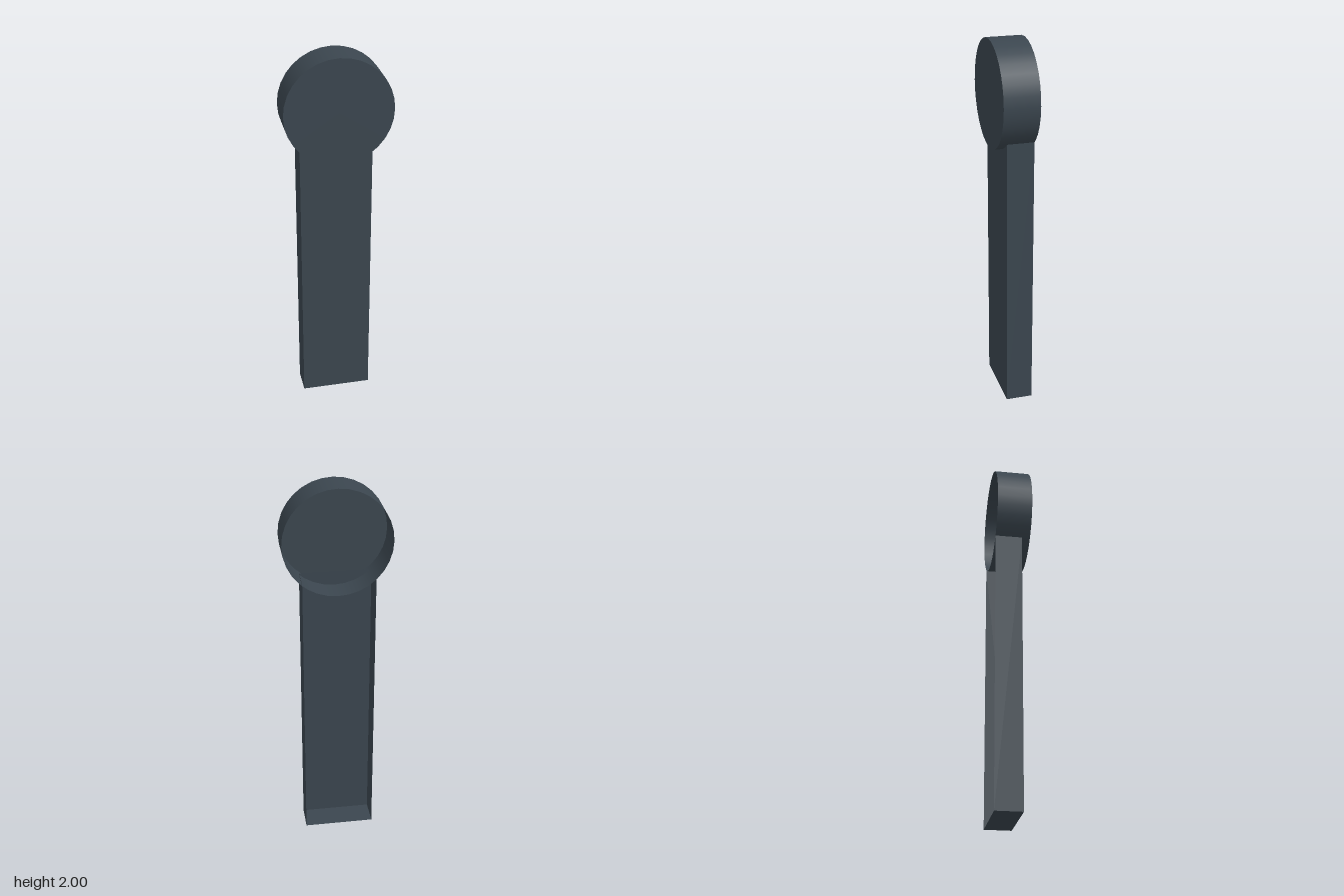
import * as THREE from 'three';

export function createModel() {
  const group = new THREE.Group();
  const material = new THREE.MeshStandardMaterial({ color: 0x3b464f, side: THREE.DoubleSide });
  const add = (parent, name, geometry, x, y, z) => {
    const mesh = new THREE.Mesh(geometry, material);
    mesh.name = name;
    mesh.position.set(x, y, z);
    parent.add(mesh);
    return mesh;
  };

  const back = -0.094, front = 0.094, armFront = 0.05;

  // Round head: a shallow cup, closed in front and open behind
  const radius = 0.282, segments = 32, headY = 2 - radius;
  const head = new THREE.Group();
  head.name = 'head';
  const rim = new THREE.CylinderGeometry(radius, radius, front - back, segments, 1, true).rotateX(Math.PI / 2);
  add(head, 'headRim', rim, 0, headY, 0);
  add(head, 'headFace', new THREE.CircleGeometry(radius, segments), 0, headY, front);

  // Long arm: a tray open behind and at the top, where it enters the head
  const left = 0.182, right = -0.196, height = 1.51;
  const width = left - right, depth = armFront - back;
  const midX = (left + right) / 2, midZ = (armFront + back) / 2;
  const arm = new THREE.Group();
  arm.name = 'arm';
  add(arm, 'armFace', new THREE.PlaneGeometry(width, height), midX, height / 2, armFront);
  for (const [name, x, turn] of [['armLeftWall', left, 1], ['armRightWall', right, -1]]) {
    const wall = new THREE.PlaneGeometry(depth, height).rotateY(turn * Math.PI / 2);
    add(arm, name, wall, x, height / 2, midZ);
  }
  add(arm, 'armEndWall', new THREE.PlaneGeometry(width, depth).rotateX(Math.PI / 2), midX, 0, midZ);

  group.add(head, arm);
  return group;
}
